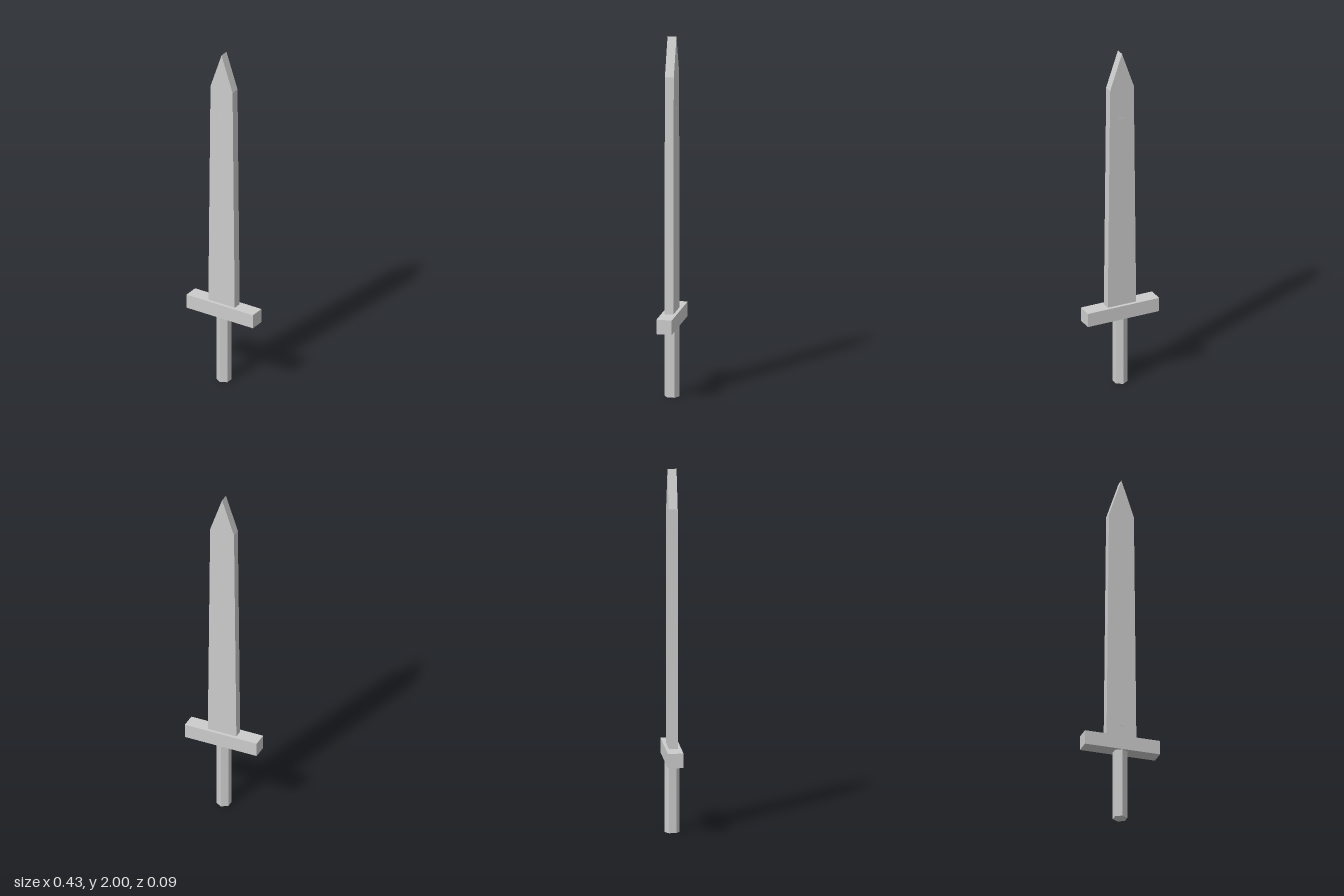
import * as THREE from 'three';

export function createModel() {
  const steel = new THREE.MeshStandardMaterial({ color: 0xcccccc });
  steel.name = 'plain grey';
  steel.flatShading = true;

  const group = new THREE.Group();
  group.name = 'sword';
  const add = (name, geometry, y = 0, z = 0) => {
    const mesh = new THREE.Mesh(geometry, steel);
    mesh.name = name;
    mesh.position.set(0, y, z);
    group.add(mesh);
  };

  // Hexagonal grip with ridges facing front and back
  add('grip', new THREE.CylinderGeometry(0.04, 0.04, 0.395, 6), 0.1975);

  // Crossguard
  add('crossguard', new THREE.BoxGeometry(0.427, 0.08, 0.085), 0.435);

  // Tapered blade with a pointed tip
  const outline = new THREE.Shape([
    [-0.085, 0.475], [0.085, 0.475], [0.071, 1.79], [0, 2], [-0.071, 1.79],
  ].map(([x, y]) => new THREE.Vector2(x, y)));
  const thickness = 0.049;
  add('blade', new THREE.ExtrudeGeometry(outline, { depth: thickness, bevelEnabled: false }), 0, -thickness / 2);

  // Narrow rib, barely proud of both blade faces
  add('bladeRib', new THREE.BoxGeometry(0.035, 1.07, 0.0515), 1.075);

  return group;
}
